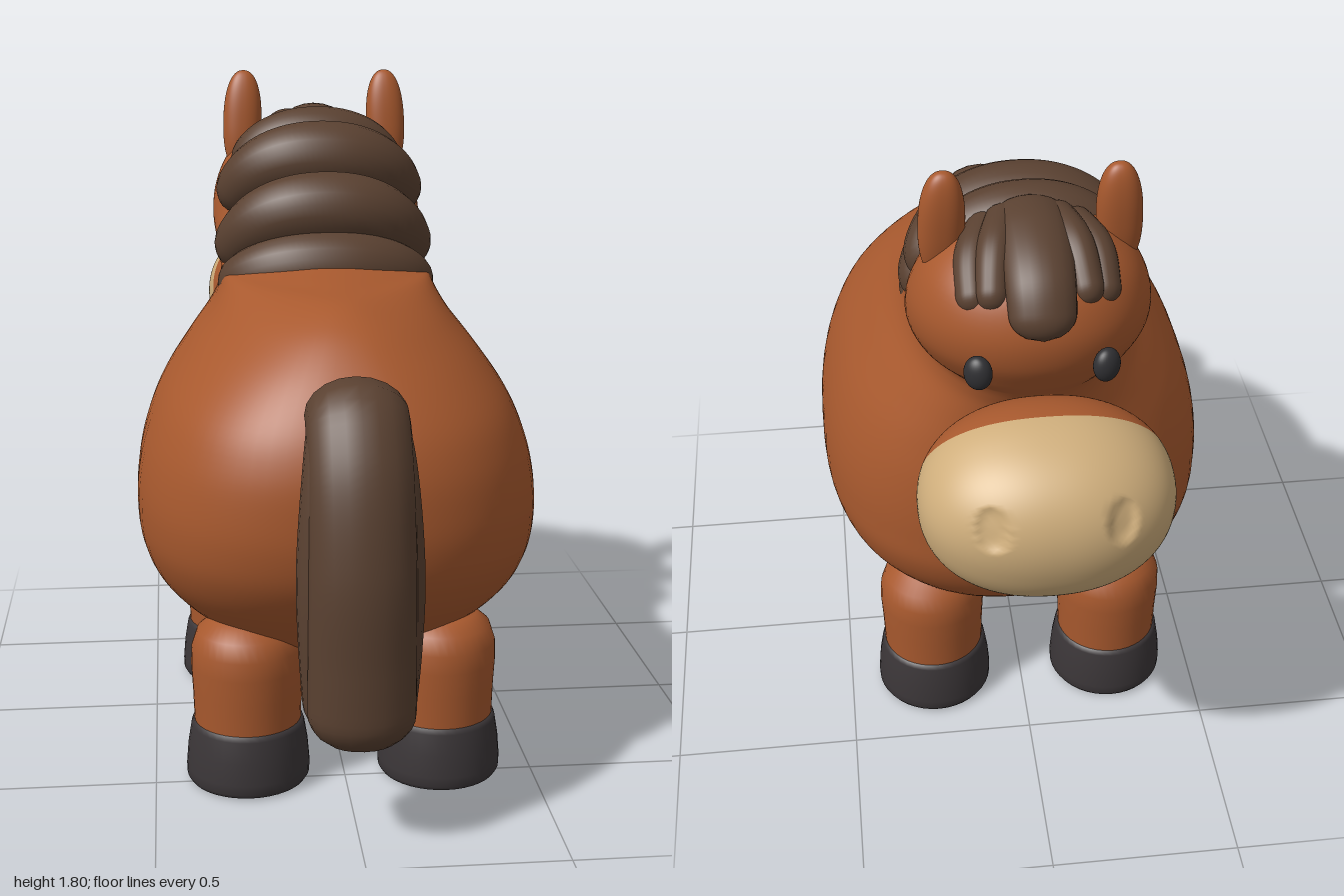
import * as THREE from 'three';
import { mergeVertices } from 'three/addons/utils/BufferGeometryUtils.js';

const material = (name, color) => {
  const m = new THREE.MeshStandardMaterial({ color });
  m.name = name;
  return m;
};

// Weld seams and recompute smooth normals
function smooth(geo) {
  geo.deleteAttribute('uv');
  geo.deleteAttribute('normal');
  const merged = mergeVertices(geo, 1e-5);
  merged.computeVertexNormals();
  return merged;
}

// Skin through horizontal rings [y, frontZ, backZ, halfWidth, rearTaper]; boxier low down
function loft(rings, sub = 5, sides = 72) {
  const pos = [], index = [];
  const at = (i) => rings[Math.min(Math.max(i, 0), rings.length - 1)];
  const rows = (rings.length - 1) * sub;
  for (let r = 0; r <= rows; r++) {
    const i = Math.min(Math.floor(r / sub), rings.length - 2), t = r / sub - i;
    const [y, zf, zb, w, taper] = [0, 1, 2, 3, 4].map((k) => {
      const [a, b, c, d] = [at(i - 1)[k], at(i)[k], at(i + 1)[k], at(i + 2)[k]];
      return b + 0.5 * t * (c - a + t * (2 * a - 5 * b + 4 * c - d + t * (3 * (b - c) + d - a)));
    });
    const n = 2.55 - 0.45 * THREE.MathUtils.smoothstep(y, 0.95, 1.35);
    const curve = (v) => Math.sign(v) * Math.abs(v) ** (2 / n);
    for (let j = 0; j < sides; j++) {
      const a = (j / sides) * Math.PI * 2, s = Math.sin(a);
      const narrow = 1 - taper * Math.max(s, 0) ** 2;
      pos.push(Math.max(w, 0) * curve(Math.cos(a)) * narrow, y, (zf + zb) / 2 + ((zb - zf) / 2) * curve(s));
      if (r < rows) {
        const p = r * sides + j, q = r * sides + ((j + 1) % sides);
        index.push(p, p + sides, q, q, p + sides, q + sides);
      }
    }
  }
  const geo = new THREE.BufferGeometry();
  geo.setAttribute('position', new THREE.Float32BufferAttribute(pos, 3));
  geo.setIndex(index);
  geo.computeVertexNormals();
  return geo;
}

// Round-ended lock of hair along a curve; radius is a function of the position 0..1
function strand(points, radius, scaleX = 1, cap = 0.15) {
  const path = new THREE.CatmullRomCurve3(points.map((p) => new THREE.Vector3(...p)));
  const seg = 48, sides = 20;
  const geo = new THREE.TubeGeometry(path, seg, 1, sides);
  const p = geo.attributes.position, v = new THREE.Vector3();
  for (let i = 0; i <= seg; i++) {
    const t = i / seg, c = path.getPointAt(t);
    const e = Math.min(1, Math.min(t, 1 - t) / cap);
    const r = radius(t) * Math.sqrt(Math.max(1 - (1 - e) ** 2, 1e-5));
    for (let j = 0; j <= sides; j++) {
      const k = i * (sides + 1) + j;
      v.fromBufferAttribute(p, k).sub(c).multiplyScalar(r);
      p.setXYZ(k, c.x + v.x * scaleX, c.y + v.y, c.z + v.z);
    }
  }
  return smooth(geo);
}

// Saddle-shaped mane lock, thick at the crown; crown and tip are [y, z], width is half the span
function maneLock(crown, tip, width, r) {
  const pts = [];
  for (let i = 0; i <= 14; i++) {
    const a = (i / 14 - 0.5) * Math.PI;
    const c = Math.cos(a), s = Math.sin(a);
    pts.push([width * Math.sign(s) * Math.abs(s) ** 0.85,
      tip[0] + (crown[0] - tip[0]) * c, tip[1] + (crown[1] - tip[1]) * c]);
  }
  return strand(pts, (t) => 0.065 + (r - 0.065) * Math.sin(Math.PI * t), 1, 0.1);
}

// Slightly boxy unit ball, optionally only a band of it
function softBall(power, start = 0, length = Math.PI) {
  const geo = new THREE.SphereGeometry(1, 96, 64, 0, Math.PI * 2, start, length);
  const p = geo.attributes.position, v = new THREE.Vector3();
  for (let i = 0; i < p.count; i++) {
    v.fromBufferAttribute(p, i);
    const norm = [v.x, v.y, v.z].reduce((sum, c) => sum + Math.abs(c) ** power, 0) ** (1 / power);
    p.setXYZ(i, v.x / norm, v.y / norm, v.z / norm);
  }
  return geo;
}

const lathe = (pts) => new THREE.LatheGeometry(pts.map(([x, y]) => new THREE.Vector2(x, y)), 40);

export function createModel() {
  const horse = new THREE.Group();
  horse.name = 'horse';
  const coat = material('chestnut coat', 0xa8592e);
  const hair = material('dark brown hair', 0x5a4131);
  const tan = material('tan muzzle', 0xcfae7c);
  const hoofMat = material('charcoal hoof', 0x3b3638);
  const eyeMat = material('black eye', 0x303033);
  const add = (name, geo, mat, x = 0, y = 0, z = 0) => {
    const m = new THREE.Mesh(geo, mat);
    m.name = name;
    m.position.set(x, y, z);
    horse.add(m);
    return m;
  };

  // Barrel body flowing into neck and head
  add('bodyNeckAndHead', loft([
    [0.305, 0.1, 0.1, 0, 0], [0.308, -0.02, 0.27, 0.07, 0], [0.316, -0.15, 0.4, 0.18, 0],
    [0.345, -0.27, 0.48, 0.28, 0], [0.4, -0.38, 0.57, 0.385, 0], [0.5, -0.465, 0.68, 0.482, 0],
    [0.6, -0.51, 0.75, 0.525, 0], [0.7, -0.52, 0.78, 0.535, 0], [0.8, -0.525, 0.785, 0.527, 0],
    [0.9, -0.525, 0.775, 0.502, 0], [1.0, -0.522, 0.74, 0.458, 0], [1.1, -0.535, 0.675, 0.39, 0.03],
    [1.18, -0.56, 0.595, 0.328, 0.12], [1.23, -0.586, 0.515, 0.3, 0.3], [1.262, -0.606, 0.42, 0.291, 0.5],
    [1.278, -0.617, 0.27, 0.29, 0.5], [1.31, -0.638, 0.07, 0.293, 0.35], [1.38, -0.675, -0.05, 0.303, 0.3],
    [1.46, -0.685, -0.12, 0.296, 0.2], [1.54, -0.66, -0.19, 0.265, 0.1], [1.6, -0.612, -0.25, 0.215, 0],
    [1.64, -0.55, -0.32, 0.15, 0], [1.66, -0.44, -0.44, 0, 0],
  ]), coat);

  // Muzzle: tan front and chestnut rear parts of one tilted ball
  const split = THREE.MathUtils.degToRad(108.5);
  const muzzlePart = (start, length) => softBall(2.2, start, length)
    .scale(0.311, 0.235, 0.23).rotateX(THREE.MathUtils.degToRad(-108.2));
  const front = muzzlePart(0, split);
  const fp = front.attributes.position, v = new THREE.Vector3();
  for (let i = 0; i < fp.count; i++) {
    v.fromBufferAttribute(fp, i);
    // Nostril dents
    const d = Math.hypot(Math.abs(v.x) - 0.15, (v.y - 0.07) * 0.7);
    if (v.z < 0 && d < 0.038) fp.setZ(i, v.z + 0.017 * (1 - (d / 0.038) ** 4));
  }
  add('muzzleFront', smooth(front), tan, 0, 1.08, -0.765);
  add('muzzleRear', smooth(muzzlePart(split, Math.PI - split)), coat, 0, 1.08, -0.765);

  // Legs and hooves
  const legGeo = lathe([[0.14, 0.15], [0.143, 0.25], [0.147, 0.32], [0.145, 0.37], [0.13, 0.415],
    [0.095, 0.445], [0.04, 0.46], [0, 0.462]]);
  const hoofGeo = lathe([[0, 0], [0.14, 0], [0.155, 0.004], [0.162, 0.015], [0.163, 0.04],
    [0.158, 0.1], [0.149, 0.155], [0.144, 0.168], [0.13, 0.17], [0, 0.17]]);
  for (const [end, z] of [['front', -0.255], ['back', 0.465]]) {
    for (const [side, s] of [['Left', 1], ['Right', -1]]) {
      add(`${end}Leg${side}`, legGeo, coat, s * 0.255, 0, z);
      add(`${end}Hoof${side}`, hoofGeo, hoofMat, s * 0.255, 0, z);
    }
  }

  // Ears and eyes
  const ball = new THREE.SphereGeometry(1, 32, 24);
  const earGeo = smooth(softBall(2.3).scale(0.056, 0.148, 0.042));
  const withers = add('maneBase', ball, hair, 0, 1.258, 0.085);
  withers.scale.set(0.145, 0.035, 0.095);
  for (const [side, s] of [['Left', 1], ['Right', -1]]) {
    const ear = add(`ear${side}`, earGeo, coat, s * 0.212, 1.65, -0.432);
    ear.rotation.set(-0.1, 0, s * 0.04);
    const eye = add(`eye${side}`, ball, eyeMat, s * 0.152, 1.385, -0.67);
    eye.scale.set(0.035, 0.045, 0.027);
    eye.rotation.y = s * -0.45;
  }

  // Mane locks draped over the neck, from withers to poll
  [
    [[1.285, 0.01], [1.2, -0.095], 0.25, 0.105],
    [[1.435, -0.055], [1.275, -0.18], 0.245, 0.107],
    [[1.562, -0.195], [1.415, -0.3], 0.235, 0.107],
    [[1.604, -0.345], [1.5, -0.375], 0.195, 0.094],
  ].forEach((m, i) => add(`maneLock${i + 1}`, maneLock(...m), hair));

  // Forelock
  add('forelockCentre', strand([[0, 1.64, -0.36], [0, 1.64, -0.49], [0, 1.585, -0.62], [0, 1.475, -0.69]],
    (t) => 0.06 - 0.012 * t, 1.6), hair);
  for (const [side, s] of [['Left', 1], ['Right', -1]]) {
    add(`forelockInner${side}`, strand([[s * 0.05, 1.64, -0.38], [s * 0.095, 1.625, -0.52], [s * 0.115, 1.53, -0.635]],
      (t) => 0.05 - 0.01 * t), hair);
    add(`forelockOuter${side}`, strand([[s * 0.09, 1.62, -0.38], [s * 0.145, 1.6, -0.5], [s * 0.155, 1.515, -0.615]],
      (t) => 0.05 - 0.01 * t), hair);
    // Tail side locks
    add(`tailLock${side}`, strand([[s * 0.05, 1.07, 0.74], [s * 0.07, 0.96, 0.82], [s * 0.09, 0.7, 0.852],
      [s * 0.085, 0.5, 0.852], [s * 0.07, 0.3, 0.84]], () => 0.064, 1, 0.08), hair);
  }

  // Tail
  add('tail', strand([[0, 1.0, 0.66], [0, 1.055, 0.755], [0, 0.95, 0.845], [0, 0.72, 0.9], [0, 0.48, 0.9],
    [0, 0.265, 0.895]], (t) => 0.09 + 0.006 * t, 1.38, 0.1), hair);

  return horse;
}
